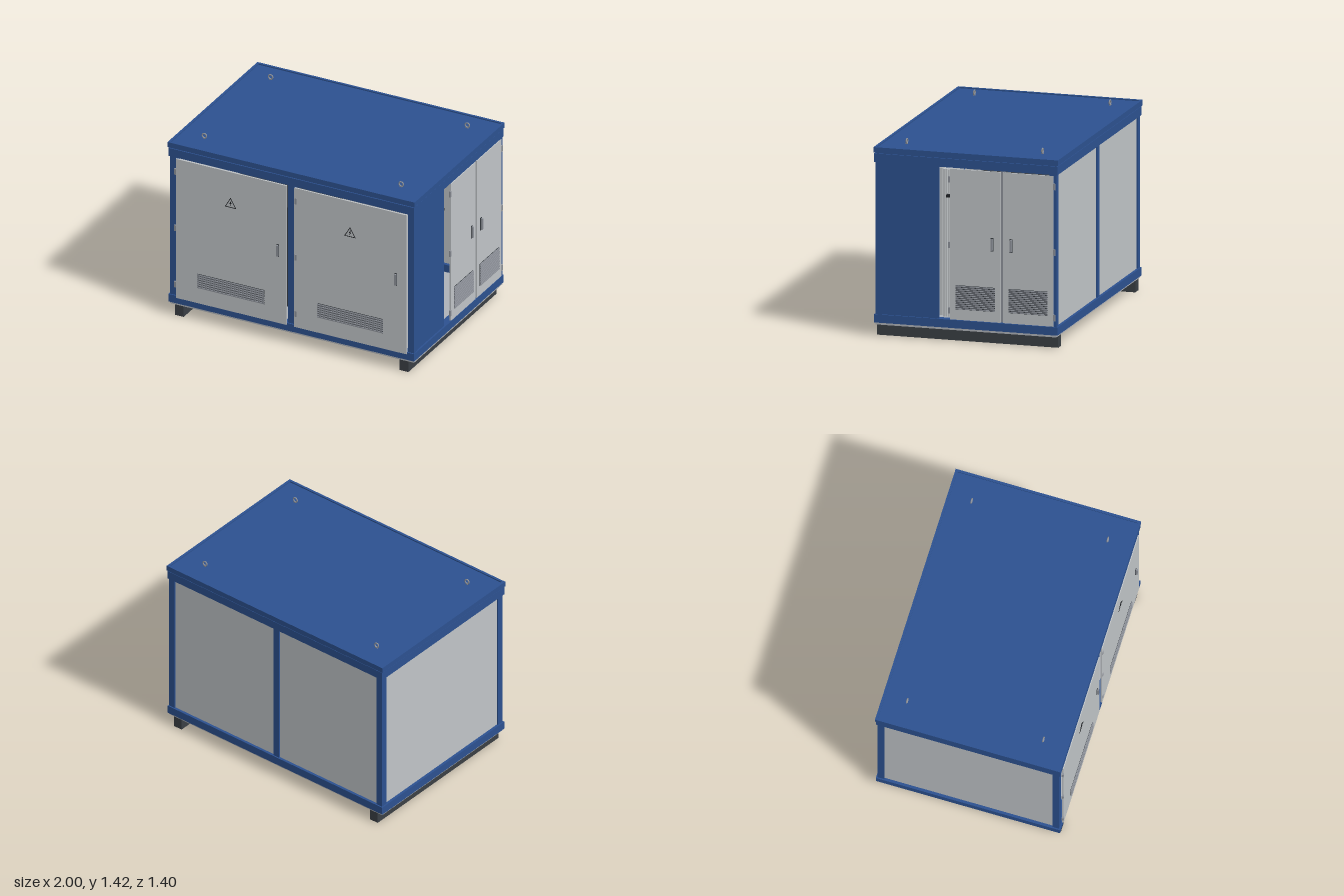
import * as THREE from 'three';

const mat = (name, hex) => {
  const m = new THREE.MeshStandardMaterial({ color: hex });
  m.name = name;
  return m;
};

export function createModel() {
  const blue = mat('blue paint', 0x2c5190);
  const light = mat('light grey panel', 0xc0c4c7);
  const floorGrey = mat('base grey', 0xaeb2b8);
  const metal = mat('metal grey', 0x8f939b);
  const dark = mat('dark steel', 0x3a3f44);
  const black = mat('sign black', 0x202326);

  const model = new THREE.Group();
  model.name = 'equipmentEnclosure';

  // Box given by its limits along each axis
  const box = (parent, name, m, x0, x1, y0, y1, z0, z1) => {
    const mesh = new THREE.Mesh(new THREE.BoxGeometry(x1 - x0, y1 - y0, z1 - z0), m);
    mesh.position.set((x0 + x1) / 2, (y0 + y1) / 2, (z0 + z1) / 2);
    mesh.name = name;
    parent.add(mesh);
    return mesh;
  };
  // Rectangular ring of four beams
  const ring = (name, m, x0, x1, y0, y1, z0, z1, t) => {
    const g = new THREE.Group();
    g.name = name;
    box(g, name + 'Back', m, x0, x1, y0, y1, z0, z0 + t);
    box(g, name + 'Front', m, x0, x1, y0, y1, z1 - t, z1);
    box(g, name + 'Left', m, x1 - t, x1, y0, y1, z0 + t, z1 - t);
    box(g, name + 'Right', m, x0, x0 + t, y0, y1, z0 + t, z1 - t);
    model.add(g);
  };

  // Skids, floor and frame
  box(model, 'skidRight', dark, -0.945, -0.875, 0, 0.085, -0.69, 0.665);
  box(model, 'skidLeft', dark, 0.865, 0.935, 0, 0.085, -0.69, 0.665);
  box(model, 'floor', floorGrey, -0.985, 0.98, 0.085, 0.102, -0.69, 0.665);
  ring('lowerFrame', blue, -0.995, 0.985, 0.1, 0.16, -0.7, 0.673, 0.06);
  ring('upperFrame', blue, -0.995, 0.985, 1.275, 1.338, -0.7, 0.673, 0.06);
  for (const [x0, x1] of [[-0.985, -0.935], [-0.035, 0.015], [0.93, 0.98]]) {
    box(model, 'frontPost', blue, x0, x1, 0.16, 1.275, 0.612, 0.663);
    box(model, 'backPost', blue, x0, x1, 0.16, 1.275, -0.69, -0.64);
  }

  // Roof with raised rim
  box(model, 'roofNeck', blue, -0.985, 0.975, 1.33, 1.35, -0.69, 0.663);
  box(model, 'roof', blue, -0.995, 0.985, 1.346, 1.376, -0.7, 0.67);
  ring('roofRim', blue, -1, 0.99, 1.345, 1.385, -0.705, 0.676, 0.018);

  // Lifting eyes
  for (const x of [-0.8, 0.785]) for (const z of [-0.525, 0.49]) {
    const eye = new THREE.Mesh(new THREE.TorusGeometry(0.017, 0.005, 8, 20), metal);
    eye.position.set(x, 1.398, z);
    eye.name = 'liftingEye';
    model.add(eye);
    box(model, 'liftingEyeFoot', metal, x - 0.01, x + 0.01, 1.374, 1.384, z - 0.006, z + 0.006);
  }

  // Fixed wall panels
  box(model, 'backPanelRight', light, -0.937, -0.033, 0.158, 1.277, -0.68, -0.665);
  box(model, 'backPanelLeft', light, 0.013, 0.932, 0.158, 1.277, -0.68, -0.665);
  box(model, 'sidePanelRight', light, -0.975, -0.96, 0.158, 1.277, -0.642, 0.614);
  box(model, 'sidePanelLeft', blue, 0.957, 0.973, 0.158, 1.277, 0.19, 0.614);

  // Door in the xy plane facing +z, with hinges, handle and louvre
  function door(name, d) {
    const g = new THREE.Group();
    g.name = name;
    box(g, 'doorLeaf', light, d.x[0], d.x[1], d.y[0], d.y[1], -0.012, 0);
    for (const y of d.hingeY) {
      box(g, 'hinge', metal, d.hingeX - 0.008, d.hingeX + 0.008, y - 0.023, y + 0.023, -0.01, 0.004);
    }
    box(g, 'handlePlate', dark, d.handle - 0.01, d.handle + 0.01, 0.683, 0.782, 0, 0.004);
    box(g, 'handleGrip', metal, d.handle - 0.007, d.handle + 0.007, 0.69, 0.776, 0.004, 0.016);
    const [lx0, lx1, ly0, ly1] = d.louvre;
    box(g, 'louvreRecess', dark, lx0, lx1, ly0, ly1, 0, 0.002);
    const pitch = (ly1 - ly0) / d.slats;
    for (let i = 0; i < d.slats; i++) {
      const y = ly0 + (i + 0.5) * pitch;
      box(g, 'louvreSlat', metal, lx0, lx1, y - pitch * 0.27, y + pitch * 0.27, 0.001, 0.009);
    }
    model.add(g);
    return g;
  }

  // Warning triangle: outlined plate with a lightning bolt
  function warningSign(parent, x) {
    const tri = (P, s) => {
      const p = new P();
      p.moveTo(-0.046 * s, -0.027 * s);
      p.lineTo(0.046 * s, -0.027 * s);
      p.lineTo(0, 0.053 * s);
      p.closePath();
      return p;
    };
    const outline = tri(THREE.Shape, 1);
    outline.holes.push(tri(THREE.Path, 0.82));
    const bolt = new THREE.Shape([[0.003, 0.026], [-0.009, 0.003], [0, 0.003], [-0.004, -0.018],
      [0.009, 0.01], [0.001, 0.01], [0.007, 0.026]].map(([a, b]) => new THREE.Vector2(a, b)));
    const geo = new THREE.ExtrudeGeometry([outline, bolt], { depth: 0.002, bevelEnabled: false });
    const sign = new THREE.Mesh(geo, black);
    sign.position.set(x, 1.01, 0);
    sign.name = 'warningSign';
    parent.add(sign);
  }

  // Front doors
  const frontHinges = [1.163, 0.71, 0.255];
  const frontRight = door('frontDoorRight', {
    x: [-0.93, -0.04], y: [0.147, 1.268], hingeX: -0.936, hingeY: frontHinges,
    handle: -0.108, louvre: [-0.757, -0.218, 0.27, 0.385], slats: 7,
  });
  const frontLeft = door('frontDoorLeft', {
    x: [0.022, 0.927], y: [0.147, 1.268], hingeX: 0.035, hingeY: frontHinges,
    handle: 0.842, louvre: [0.21, 0.737, 0.27, 0.385], slats: 7,
  });
  warningSign(frontRight, -0.49);
  warningSign(frontLeft, 0.472);
  frontRight.position.z = frontLeft.position.z = 0.679;

  // Side doors, local x maps to -z
  const sideHinges = [1.188, 0.708, 0.228];
  const sideFront = door('sideDoorFront', {
    x: [-0.103, 0.272], y: [0.163, 1.266], hingeX: -0.112, hingeY: sideHinges,
    handle: 0.211, louvre: [-0.062, 0.232, 0.24, 0.417], slats: 13,
  });
  const sideBack = door('sideDoorBack', {
    x: [0.291, 0.668], y: [0.163, 1.266], hingeX: 0.676, hingeY: sideHinges,
    handle: 0.353, louvre: [0.335, 0.626, 0.24, 0.417], slats: 13,
  });
  for (const d of [sideFront, sideBack]) {
    d.rotation.y = Math.PI / 2;
    d.position.x = 0.984;
  }

  // Interior seen through the door gaps
  box(model, 'innerCabinet', light, 0.35, 0.86, 0.16, 1.24, 0.2, 0.56);
  for (const z of [0.135, 0.152, 0.17]) {
    box(model, 'cabinetEdge', light, 0.84, 0.9, 0.16, 1.24, z, z + 0.012);
  }
  box(model, 'busBar', black, 0.86, 0.93, 1.04, 1.06, 0.105, 0.15);
  box(model, 'transformer', dark, -0.75, 0.25, 0.102, 0.9, -0.4, 0.35);
  box(model, 'doorStop', metal, 0.93, 0.955, 0.16, 1.275, -0.295, -0.265);

  return model;
}
